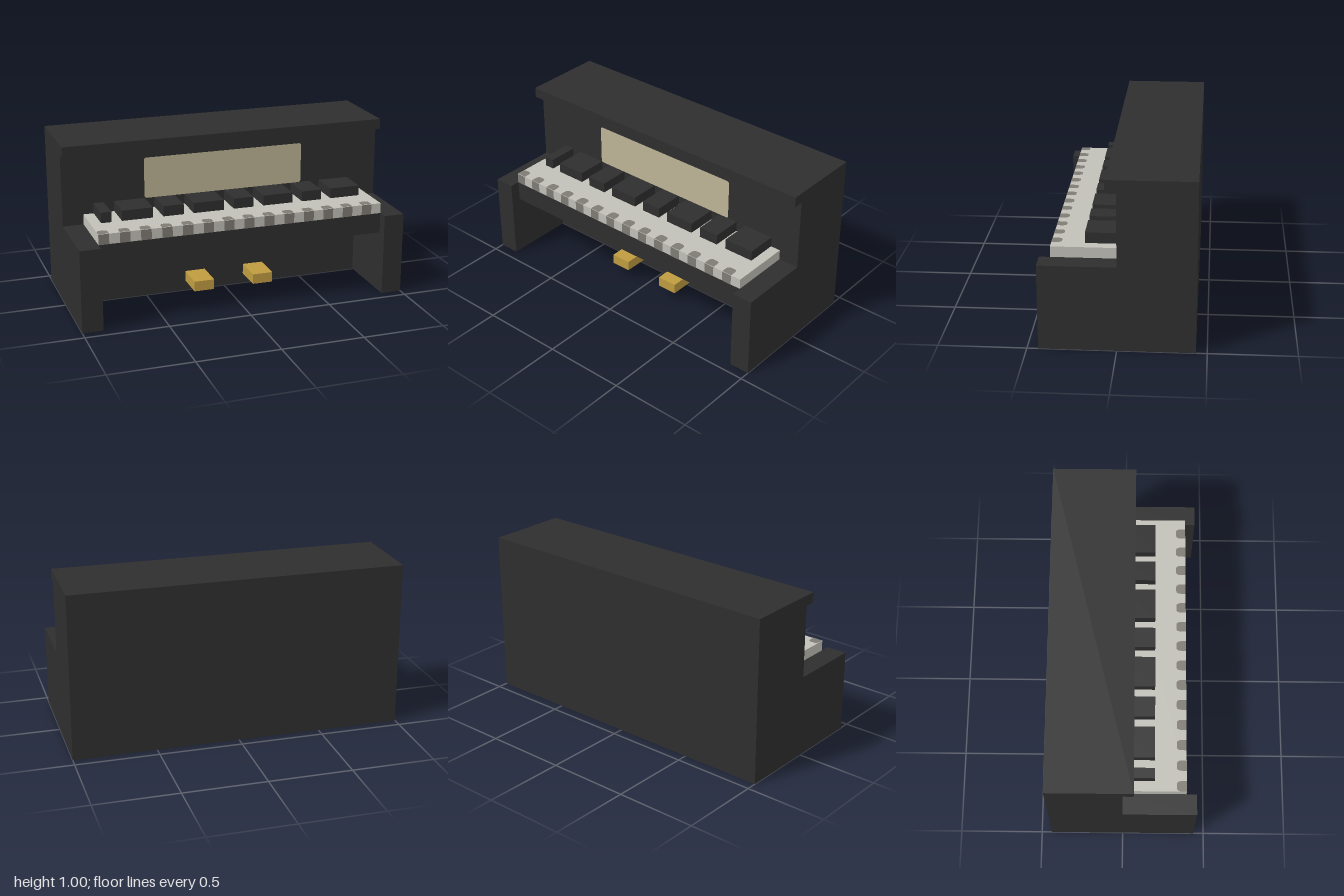
import * as THREE from 'three';

const material = (name, color) => {
  const m = new THREE.MeshStandardMaterial({ color });
  m.name = name;
  return m;
};

export function createModel() {
  const piano = new THREE.Group();
  piano.name = 'uprightPiano';

  const black = material('black lacquer', 0x2e2e2e);
  const ivory = material('ivory', 0xc1c0b8);
  const grey = material('key shadow grey', 0x7f7c75);
  const paper = material('sheet paper', 0xbdb597);
  const brass = material('brass', 0xc09c40);

  const add = (name, geometry, mat, parent = piano) => {
    const mesh = new THREE.Mesh(geometry, mat);
    mesh.name = name;
    parent.add(mesh);
    return mesh;
  };
  // Box given by its two limits along each axis
  const box = (name, mat, [x0, x1], [y0, y1], [z0, z1], parent) => {
    const mesh = add(name, new THREE.BoxGeometry(x1 - x0, y1 - y0, z1 - z0), mat, parent);
    mesh.position.set((x0 + x1) / 2, (y0 + y1) / 2, (z0 + z1) / 2);
    return mesh;
  };
  const group = (name) => {
    const g = new THREE.Group();
    g.name = name;
    piano.add(g);
    return g;
  };

  // Case
  box('body', black, [-1, 1], [0, 0.9375], [-0.4375, 0]);
  box('lid', black, [-1, 1], [0.9375, 1], [-0.4375, 0.0625]);
  box('rightArm', black, [-1, -0.875], [0, 0.5], [0, 0.4375]);
  box('leftArm', black, [0.875, 1], [0, 0.5], [0, 0.4375]);
  box('keyBed', black, [-0.875, 0.875], [0.375, 0.5], [0, 0.375]);

  // White keyboard with painted gaps that wrap over its front edge
  box('whiteKeys', ivory, [-0.875, 0.875], [0.5, 0.5625], [0, 0.375]);
  const gaps = group('keyGaps');
  const arch = new THREE.Shape();
  arch.moveTo(-0.03125, 0);
  arch.lineTo(0.03125, 0);
  arch.lineTo(0.03125, 0.03);
  arch.quadraticCurveTo(0.03, 0.058, 0.012, 0.058);
  arch.lineTo(-0.012, 0.058);
  arch.quadraticCurveTo(-0.03, 0.058, -0.03125, 0.03);
  const archGeometry = new THREE.ShapeGeometry(arch, 6).rotateX(-Math.PI / 2);
  const frontGeometry = new THREE.PlaneGeometry(0.0625, 0.0625);
  for (let i = 0; i < 14; i++) {
    const x = -0.84375 + i * 0.125;
    add('gapTop', archGeometry, grey, gaps).position.set(x, 0.5645, 0.375);
    add('gapFront', frontGeometry, grey, gaps).position.set(x, 0.53125, 0.377);
  }

  // Black keys: left edge and width in sixteenths
  const blackKeys = group('blackKeys');
  const keys = [[-13, 1], [-11, 3], [-7, 2], [-4, 3], [0, 2], [3, 3], [7, 2], [10, 3]];
  for (const [start, width] of keys) {
    box('blackKey', black, [start / 16, (start + width) / 16], [0.5625, 0.625], [0, 0.1875], blackKeys);
  }

  // Sheet music with slightly rounded corners
  const r = 0.015;
  const sheet = new THREE.Shape();
  sheet.absarc(0.5 - r, 0.875 - r, r, 0, Math.PI / 2);
  sheet.absarc(-0.5 + r, 0.875 - r, r, Math.PI / 2, Math.PI);
  sheet.absarc(-0.5 + r, 0.625 + r, r, Math.PI, Math.PI * 1.5);
  sheet.absarc(0.5 - r, 0.625 + r, r, Math.PI * 1.5, Math.PI * 2);
  add('sheetMusic', new THREE.ShapeGeometry(sheet, 4), paper).position.z = 0.003;

  // Pedals
  for (const side of [-1, 1]) {
    const x = side * 0.1875;
    box(side < 0 ? 'rightPedal' : 'leftPedal', brass, [x - 0.0625, x + 0.0625], [0.0625, 0.125], [0, 0.1875]);
  }

  return piano;
}
